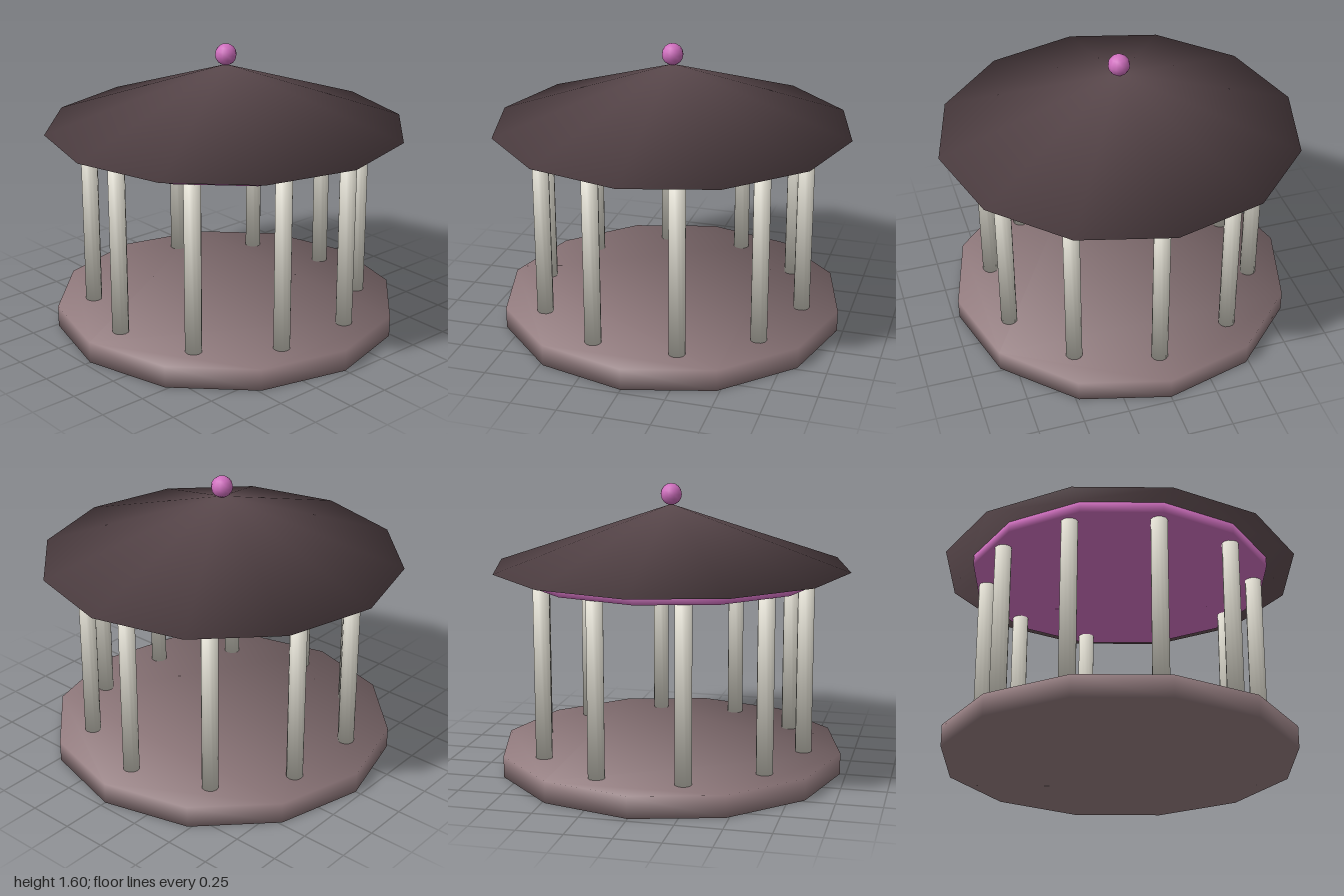
import * as THREE from 'three';
import { mergeVertices } from 'three/addons/utils/BufferGeometryUtils.js';

const material = (name, color) => {
  const m = new THREE.MeshStandardMaterial({ color });
  m.name = name;
  return m;
};

// Smooth normals shared over all edges, weighted by the corner angles
function smoothByAngle(geometry) {
  geometry.deleteAttribute('normal');
  geometry.deleteAttribute('uv');
  geometry.clearGroups();
  const g = mergeVertices(geometry, 1e-4);
  const pos = g.attributes.position;
  const sums = Array.from({ length: pos.count }, () => new THREE.Vector3());
  const tri = new THREE.Triangle();
  const n = new THREE.Vector3();
  for (let f = 0; f < g.index.count; f += 3) {
    const ids = [0, 1, 2].map((k) => g.index.getX(f + k));
    const p = ids.map((i) => new THREE.Vector3().fromBufferAttribute(pos, i));
    tri.set(p[0], p[1], p[2]).getNormal(n);
    ids.forEach((id, k) => {
      const a = p[(k + 1) % 3].clone().sub(p[k]);
      const b = p[(k + 2) % 3].clone().sub(p[k]);
      sums[id].addScaledVector(n, a.angleTo(b));
    });
  }
  g.setAttribute('normal', new THREE.Float32BufferAttribute(
    sums.flatMap((v) => v.normalize().toArray()), 3));
  return g;
}

// Closed many-sided solid; topScale 0 draws the top into a point
function polygonSolid(radius, bottom, top, sides = 12, topScale = 1) {
  const points = Array.from({ length: sides }, (_, i) => {
    const a = (i / sides) * Math.PI * 2;
    return new THREE.Vector2(radius * Math.cos(a), radius * Math.sin(a));
  });
  const g = new THREE.ExtrudeGeometry(new THREE.Shape(points),
    { depth: top - bottom, bevelEnabled: false });
  g.rotateX(-Math.PI / 2);
  const pos = g.attributes.position;
  for (let i = 0; i < pos.count; i++) {
    if (pos.getY(i) > (top - bottom) / 2) {
      pos.setX(i, pos.getX(i) * topScale);
      pos.setZ(i, pos.getZ(i) * topScale);
    }
  }
  g.translate(0, bottom, 0);
  return smoothByAngle(g);
}

export function createModel() {
  const model = new THREE.Group();
  model.name = 'pavilion';
  const stone = material('dusty stone', 0x927b7e);
  const slate = material('dark roof', 0x5c4a4e);
  const ivory = material('ivory', 0xdedbcf);
  const pink = material('orchid pink', 0xcf6fbe);

  const add = (name, geometry, mat, parent = model) => {
    const mesh = new THREE.Mesh(geometry, mat);
    mesh.name = name;
    parent.add(mesh);
    return mesh;
  };

  // Floor, ceiling disc and pointed roof
  add('base', polygonSolid(0.967, 0, 0.12), stone);
  add('ceiling', polygonSolid(0.843, 1.08, 1.14), pink);
  add('roof', polygonSolid(1, 1.14, 1.485, 12, 0), slate);

  // Ring of ten columns
  const columns = new THREE.Group();
  columns.name = 'columns';
  model.add(columns);
  const columnShape = polygonSolid(0.046, 0.12, 1.08);
  for (let i = 0; i < 10; i++) {
    const a = (i / 10) * Math.PI * 2;
    add('column', columnShape, ivory, columns)
      .position.set(0.758 * Math.cos(a), 0, 0.758 * Math.sin(a));
  }

  // Ball on the peak
  add('finial', new THREE.SphereGeometry(0.06, 12, 8), pink).position.y = 1.54;

  return model;
}
